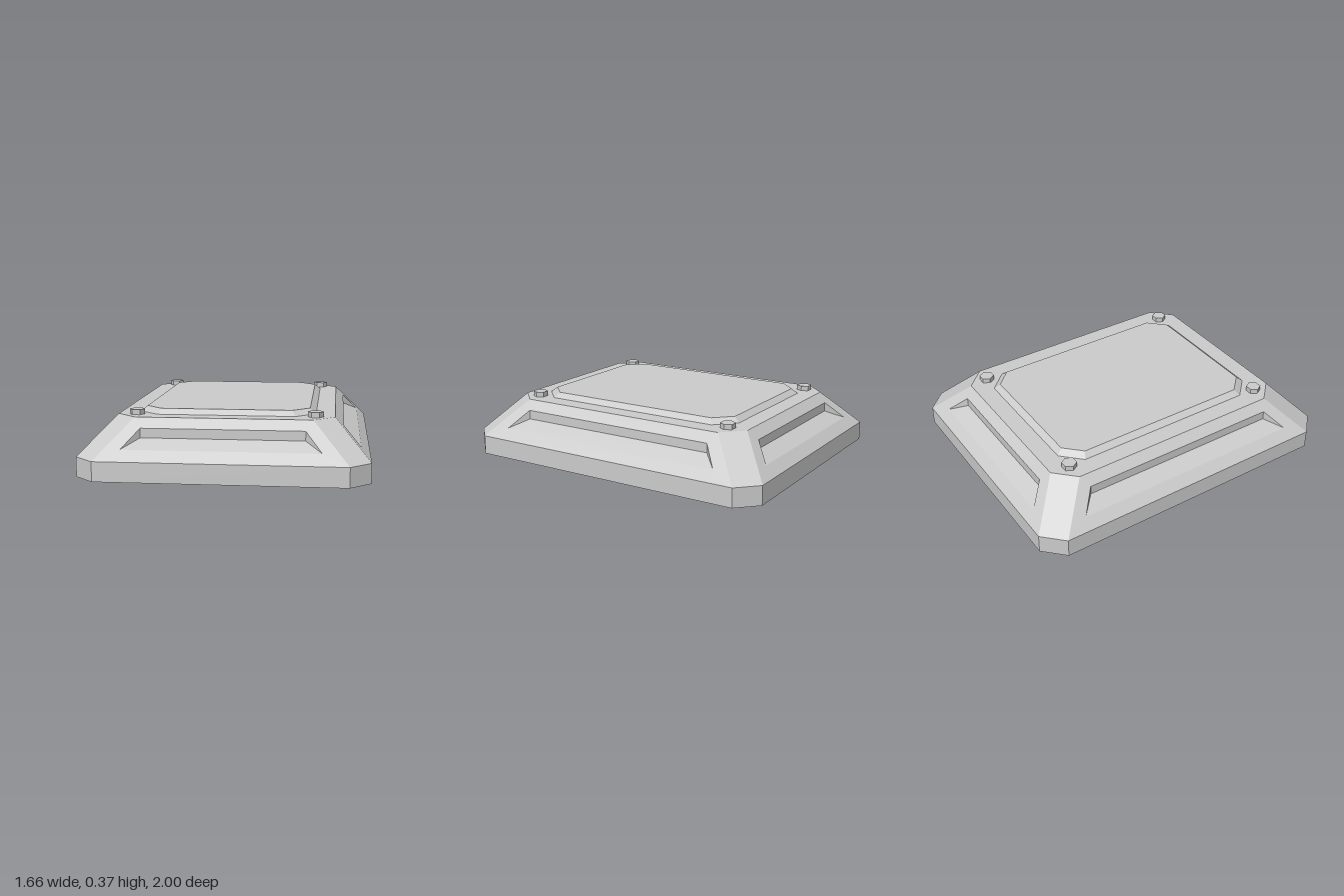
import * as THREE from 'three';

const material = new THREE.MeshStandardMaterial({ color: 0xcccccc, flatShading: true });
const CUT = 0.12; // corner chamfer of the body
const BASE = { x: 0.83, z: 1, y: 0.115 };
const TOP = { x: 0.625, z: 0.795, y: 0.335 };

// Flat-faced mesh from convex polygons, each fanned into triangles
function polyMesh(name, polys) {
  const pos = [];
  for (const p of polys)
    for (let i = 1; i < p.length - 1; i++) pos.push(...p[0], ...p[i], ...p[i + 1]);
  const g = new THREE.BufferGeometry();
  g.setAttribute('position', new THREE.Float32BufferAttribute(pos, 3));
  g.computeVertexNormals();
  const m = new THREE.Mesh(g, material);
  m.name = name;
  return m;
}

// Chamfered rectangle, counter-clockwise seen from above
function octagon(x, z, cut, y) {
  return [
    [x, y, z - cut], [x, y, cut - z], [x - cut, y, -z], [cut - x, y, -z],
    [-x, y, cut - z], [-x, y, z - cut], [cut - x, y, z], [x - cut, y, z],
  ];
}

// Quads joining two rings
function skirt(lower, upper) {
  return lower.map((p, i) => {
    const j = (i + 1) % lower.length;
    return [p, lower[j], upper[j], upper[i]];
  });
}

// One sloping side with its wedge-shaped recess, facing +z before the turn
function slopedSide(turn, along, out) {
  const depthAt = (y) =>
    BASE[out] + (TOP[out] - BASE[out]) * (y - BASE.y) / (TOP.y - BASE.y);
  const place = (u, y, d) =>
    [[u, y, d], [d, y, -u], [-u, y, -d], [-d, y, u]][turn];
  const yLow = 0.175, yFloor = 0.225, yHigh = 0.28;
  const wLow = BASE[along] - 0.27, wHigh = BASE[along] - 0.365;
  const wb = BASE[along] - CUT, wt = TOP[along] - CUT;
  const back = depthAt(yHigh);

  const rim = [
    place(-wb, BASE.y, BASE[out]), place(wb, BASE.y, BASE[out]),
    place(wt, TOP.y, TOP[out]), place(-wt, TOP.y, TOP[out]),
  ];
  const [a, b, c, d] = [
    place(-wLow, yLow, depthAt(yLow)), place(wLow, yLow, depthAt(yLow)),
    place(wHigh, yHigh, back), place(-wHigh, yHigh, back),
  ];
  const e = place(-wHigh, yFloor, back), f = place(wHigh, yFloor, back);
  return [
    ...skirt(rim, [a, b, c, d]), // frame around the recess
    [e, f, c, d], [a, b, f, e],  // back wall and floor
    [a, e, d], [b, c, f],        // end walls
  ];
}

export function createModel() {
  const model = new THREE.Group();
  model.name = 'beveledHatch';

  // Vertical plinth with closed underside
  const ground = octagon(BASE.x, BASE.z, CUT, 0);
  const shoulder = octagon(BASE.x, BASE.z, CUT, BASE.y);
  model.add(polyMesh('plinth', [...skirt(ground, shoulder), [...ground].reverse()]));

  // Sloping body: recessed sides, plain corners, flat deck
  const deck = octagon(TOP.x, TOP.z, CUT, TOP.y);
  const corners = skirt(shoulder, deck).filter((_, i) => i % 2 === 1);
  const sides = [0, 1, 2, 3].flatMap((t) =>
    t % 2 ? slopedSide(t, 'z', 'x') : slopedSide(t, 'x', 'z'));
  model.add(polyMesh('slopedBody', [...corners, ...sides, deck]));

  // Raised panel with beveled border
  const panelFoot = octagon(0.515, 0.685, 0.115, TOP.y);
  const panelTop = octagon(0.48, 0.65, 0.1, 0.365);
  model.add(polyMesh('raisedPanel', [...skirt(panelFoot, panelTop), panelTop]));

  // Hexagonal bolt heads at the deck corners
  const boltGeometry = new THREE.CylinderGeometry(0.045, 0.045, 0.03, 6);
  boltGeometry.rotateY(Math.PI / 6);
  const bolts = new THREE.Group();
  bolts.name = 'bolts';
  for (const sx of [-1, 1])
    for (const sz of [-1, 1]) {
      const bolt = new THREE.Mesh(boltGeometry, material);
      bolt.name = 'bolt';
      bolt.position.set(sx * 0.515, TOP.y + 0.015, sz * 0.677);
      bolts.add(bolt);
    }
  model.add(bolts);
  return model;
}
